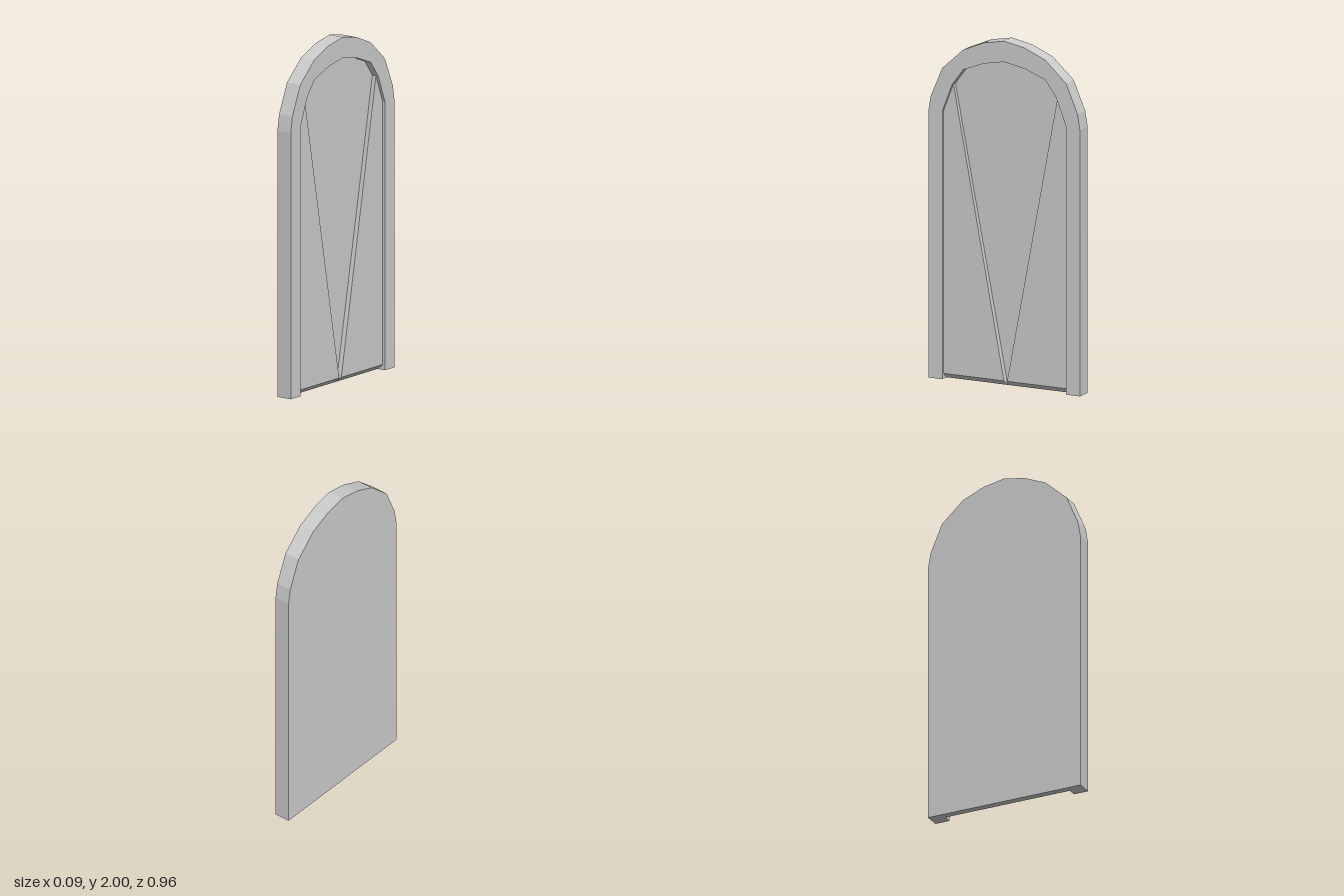
import * as THREE from 'three';

const BACK = -0.047, SILL = -0.005, FLOOR = 0.005, RAISED = 0.03, FRONT = 0.047;
const material = new THREE.MeshStandardMaterial({ color: 0xcccccc, flatShading: true });

// Half outlines (across, up) from the foot to the crown
const outer = [[0.48, 0], [0.48, 1.54], [0.465, 1.63], [0.392, 1.8], [0.26, 1.92], [0.13, 1.975], [0, 2]];
const inner = [[0.392, 0], [0.392, 1.55], [0.33, 1.71], [0.26, 1.805], [0.13, 1.855], [0, 1.88]];

// Complete an arch by mirroring every point but the crown
const mirrored = (half) => [...half, ...half.slice(0, -1).reverse().map(([u, y]) => [-u, y])];

// Extrude an outline along x; the lower front edge can be raised to make a bevel
function slab(name, points, x0, x1, lift = 0, apexShift = 0) {
  const shape = new THREE.Shape(points.map(([u, y]) => new THREE.Vector2(u, y)));
  const geo = new THREE.ExtrudeGeometry(shape, { depth: x1 - x0, bevelEnabled: false });
  const pos = geo.attributes.position;
  for (let i = 0; i < pos.count; i++) {
    if (pos.getY(i) < 0.001 && pos.getZ(i) > 0.0001 && lift) {
      pos.setY(i, lift);
      if (Math.abs(pos.getX(i)) < 0.001) pos.setX(i, apexShift);
    }
  }
  geo.translate(0, 0, x0);
  geo.rotateY(Math.PI / 2);
  geo.computeVertexNormals();
  const mesh = new THREE.Mesh(geo, material);
  mesh.name = name;
  return mesh;
}

export function createModel() {
  const group = new THREE.Group();
  group.name = 'archedPanel';

  // Flat back and the surrounding arch, open at the foot
  group.add(slab('backSlab', mirrored(outer), BACK, SILL));
  group.add(slab('archFrame', [...mirrored(outer), ...mirrored(inner).reverse()], SILL, FRONT));

  // Deep wedge in the middle
  group.add(slab('centreWedge', mirrored(inner.slice(2)).concat([[0, 0]]), SILL, FLOOR, 0.009));

  // Raised side panels with a bevelled foot
  for (const side of [1, -1]) {
    const points = [[0, 0], ...inner.slice(0, 3)].map(([u, y]) => [u * side, y]);
    group.add(slab(side > 0 ? 'backSidePanel' : 'frontSidePanel', points, SILL, RAISED, 0.03, 0.01 * side));
  }
  return group;
}
